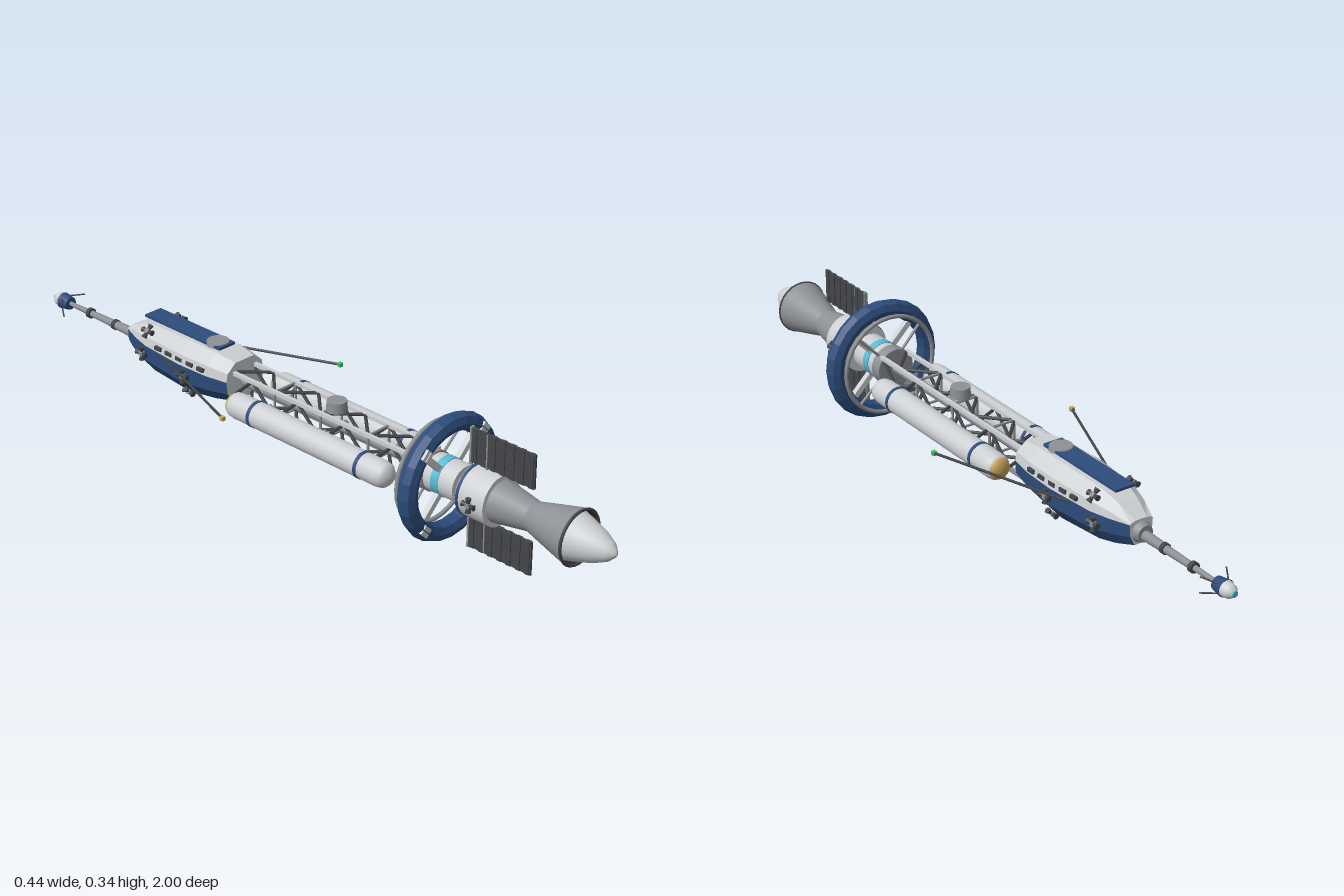
import * as THREE from 'three';

const AXIS = 0.172;
const mat = (name, color) => { const m = new THREE.MeshStandardMaterial({ color }); m.name = name; return m; };

export function createModel() {
  const white = mat('hull white', 0xcdd0d3), grey = mat('metal grey', 0x8d9095), dark = mat('dark grey', 0x45464a);
  const blue = mat('navy blue', 0x2d4d7c), gold = mat('gold', 0xc9a55a), cyan = mat('cyan glow', 0x58bcd6);
  const green = mat('signal green', 0x3cc85a), inner = mat('nozzle inside', 0x2f2d2d);
  inner.side = THREE.DoubleSide;
  const root = new THREE.Group();

  const add = (name, geo, m, x = 0, y = 0, z = 0) => {
    const mesh = new THREE.Mesh(geo, m);
    mesh.name = name;
    mesh.position.set(x, y, z);
    root.add(mesh);
    return mesh;
  };
  const flat = (g) => { const f = g.toNonIndexed(); f.computeVertexNormals(); return f; };
  const box = (name, m, w, h, d, x, y, z) => add(name, new THREE.BoxGeometry(w, h, d), m, x, y, z);
  // cylinder along z from z0 (radius r0) to z1 (radius r1)
  const drum = (name, m, z0, z1, r0, r1 = r0, x = 0, y = AXIS, n = 24) =>
    add(name, new THREE.CylinderGeometry(r1, r0, z1 - z0, n).rotateX(Math.PI / 2), m, x, y, (z0 + z1) / 2);
  const lathe = (name, m, pts, x = 0, y = AXIS) =>
    add(name, new THREE.LatheGeometry(pts.map(p => new THREE.Vector2(p[0], p[1])), 28).rotateX(Math.PI / 2), m, x, y, 0);
  const rod = (name, m, a, b, r, n = 6) => {
    const p = new THREE.Vector3(...a), q = new THREE.Vector3(...b), d = q.clone().sub(p);
    const mesh = add(name, new THREE.CylinderGeometry(r, r, d.length(), n), m);
    mesh.position.copy(p).add(q).multiplyScalar(0.5);
    mesh.quaternion.setFromUnitVectors(new THREE.Vector3(0, 1, 0), d.normalize());
    return mesh;
  };
  // four-way thruster cluster, facing the direction given by angle around z
  const thruster = (x, y, z, angle) => {
    const g = new THREE.Group();
    g.name = 'thrusterCluster';
    const core = new THREE.Mesh(new THREE.BoxGeometry(0.012, 0.012, 0.012), grey);
    core.name = 'thrusterBlock';
    g.add(core);
    for (let i = 0; i < 4; i++) {
      const cone = new THREE.Mesh(new THREE.CylinderGeometry(0.008, 0.004, 0.014, 8).translate(0, 0.012, 0), dark);
      cone.name = 'thrusterNozzle';
      cone.rotation.x = i * Math.PI / 2;
      g.add(cone);
    }
    g.position.set(x, y, z);
    g.rotation.z = angle;
    root.add(g);
  };

  // Engine
  lathe('engineBell', grey, [[0.038, 0.75], [0.046, 0.78], [0.06, 0.835], [0.07, 0.875], [0.073, 0.89]]);
  lathe('bellInside', inner, [[0.04, 0.78], [0.058, 0.84], [0.067, 0.875], [0.073, 0.89]]);
  lathe('engineCone', white, [[0.064, 0.872], [0.056, 0.9], [0.042, 0.945], [0.025, 0.98], [0.01, 0.996], [0, 1]]);
  drum('bellRim', dark, 0.886, 0.892, 0.074, 0.074).geometry = new THREE.TorusGeometry(0.071, 0.004, 6, 28);
  drum('engineCollar', grey, 0.645, 0.755, 0.056, 0.038);
  drum('engineBody', white, 0.56, 0.648, 0.068);
  drum('engineBand', blue, 0.562, 0.57, 0.0695);
  drum('engineCore', grey, 0.52, 0.57, 0.034);
  for (const s of [-1, 1]) thruster(s * 0.072, AXIS, 0.607, 0);

  // Radiator panels above and below the engine
  for (const s of [-1, 1]) {
    const y = AXIS + s * 0.118;
    box('radiatorPanel', dark, 0.005, 0.092, 0.2, 0, y, 0.65);
    for (let i = 0; i < 7; i++) box('radiatorRib', dark, 0.01, 0.092, 0.014, 0, y, 0.562 + i * 0.0295);
    box('radiatorFrame', grey, 0.01, 0.096, 0.005, 0, y, 0.55);
    rod('radiatorMast', grey, [0, AXIS + s * 0.05, 0.6], [0, AXIS + s * 0.162, 0.6], 0.004);
  }
  box('mastLight', green, 0.005, 0.005, 0.006, 0, AXIS + 0.166, 0.553);

  // Habitat ring, hub and spokes
  add('habitatRing', flat(new THREE.TorusGeometry(0.145, 0.025, 8, 24)), blue, 0, AXIS, 0.478);
  add('guideRing', new THREE.TorusGeometry(0.137, 0.006, 8, 32), grey, 0, AXIS, 0.435);
  drum('hub', white, 0.43, 0.535, 0.05);
  drum('hubGlow', cyan, 0.465, 0.488, 0.052);
  drum('hubCollar', grey, 0.405, 0.44, 0.054);
  for (let i = 0; i < 4; i++) {
    const a = Math.PI / 4 + i * Math.PI / 2, c = Math.cos(a), s = Math.sin(a);
    const spoke = box('spoke', white, 0.09, 0.016, 0.016, c * 0.088, AXIS + s * 0.088, 0.478);
    spoke.rotation.z = a;
    for (const k of [-1, 1]) {
      const hatch = box('ringHatch', white, 0.011, 0.028, 0.012, c * (0.146 + k * 0.007), AXIS + s * (0.146 + k * 0.007), 0.499);
      hatch.rotation.z = a;
    }
    rod('guideStrut', grey, [c * 0.045, AXIS + s * 0.045, 0.43], [c * 0.137, AXIS + s * 0.137, 0.435], 0.004);
  }

  // Truss spine
  const T = 0.038, z0 = -0.25, bays = 8, step = 0.66 / bays;
  for (const sx of [-1, 1]) for (const sy of [-1, 1])
    box('trussRail', sy > 0 ? white : grey, 0.01, 0.01, 0.67, sx * T, AXIS + sy * T, 0.08);
  const corners = [[-T, T], [T, T], [T, -T], [-T, -T]];
  for (let b = 0; b <= bays; b++) {
    const z = z0 + b * step;
    for (let i = 0; i < 4; i++) {
      const p = corners[i], q = corners[(i + 1) % 4];
      if (b % 2 === 0) rod('trussFrame', grey, [p[0], AXIS + p[1], z], [q[0], AXIS + q[1], z], 0.0035);
      if (b < bays) {
        const [u, v] = b % 2 ? [q, p] : [p, q];
        rod('trussDiagonal', dark, [u[0], AXIS + u[1], z], [v[0], AXIS + v[1], z + step], 0.0045);
      }
    }
  }
  drum('spineConduit', grey, -0.25, 0.42, 0.012, 0.012, 0, AXIS, 10);
  add('spinePod', new THREE.CylinderGeometry(0.026, 0.028, 0.028, 16), grey, 0, 0.228, 0.1);

  // Side tanks
  for (const s of [-1, 1]) {
    const x = s * 0.081, y = 0.154;
    lathe('tank', white, [[0, -0.196], [0.024, -0.196], [0.033, -0.185], [0.035, -0.17], [0.035, 0.33],
      [0.032, 0.348], [0.022, 0.36], [0, 0.364]], x, y);
    lathe('tankCap', gold, [[0, -0.204], [0.016, -0.203], [0.027, -0.196], [0.029, -0.19]], x, y);
    for (const z of [-0.106, 0.272]) drum('tankBand', blue, z - 0.005, z + 0.005, 0.0365, 0.0365, x, y);
    for (const z of [-0.106, 0.09, 0.272]) rod('tankBracket', grey, [s * 0.03, 0.16, z], [x, y, z], 0.006);
  }

  // Command hull: sections as z, half width, top, bottom
  const W = 0.192;
  const sections = [[-0.235, 0.066, 0.238, 0.128], [-0.3, 0.078, 0.247, 0.115], [-0.4, 0.082, 0.249, 0.1],
    [-0.545, 0.07, 0.242, 0.108], [-0.6, 0.055, 0.226, 0.118], [-0.655, 0.034, 0.2, 0.134]].map(([z, w, t, b]) => {
    const half = [[w, W], [w * 0.93, W + (t - W) * 0.5], [w * 0.5, t]];
    const low = [[w * 0.55, b], [w * 0.95, W - (W - b) * 0.55]];
    const flip = (p) => [-p[0], p[1]];
    return [...half, flip(half[2]), flip(half[1]), flip(half[0]), flip(low[1]), flip(low[0]), low[0], low[1]]
      .map(p => [p[0], p[1], z]);
  });
  const shell = (from, to) => {
    const v = [];
    for (let s = 0; s < sections.length - 1; s++) for (let i = from; i < to; i++) {
      const j = (i + 1) % 10, a = sections[s], b = sections[s + 1];
      v.push(...a[i], ...b[i], ...a[j], ...a[j], ...b[i], ...b[j]);
    }
    return v;
  };
  const cap = (ring, front) => {
    const v = [], c = [0, 0.18, ring[0][2]];
    for (let i = 0; i < 10; i++) {
      const p = ring[i], q = ring[(i + 1) % 10];
      v.push(...c, ...(front ? p : q), ...(front ? q : p));
    }
    return v;
  };
  const solid = (v) => {
    const g = new THREE.BufferGeometry();
    g.setAttribute('position', new THREE.Float32BufferAttribute(v, 3));
    g.computeVertexNormals();
    return g;
  };
  add('upperHull', solid(shell(0, 5)), white);
  add('lowerHull', solid(shell(5, 10)), blue);
  add('hullEnds', solid([...cap(sections[0], true), ...cap(sections[5], false)]), white);

  // Hull fittings
  box('dorsalPanel', blue, 0.056, 0.007, 0.29, 0, 0.252, -0.445);
  add('dorsalTurret', new THREE.CylinderGeometry(0.03, 0.034, 0.014, 16), grey, 0, 0.251, -0.335);
  for (const s of [-1, 1]) {
    for (let i = 0; i < 5; i++) box('sideWindow', dark, 0.008, 0.01, 0.024, s * (0.079 - i * 0.001), 0.205, -0.32 - i * 0.042);
    thruster(s * 0.084, 0.165, -0.385, 0);
    thruster(s * 0.071, 0.165, -0.56, 0);
    thruster(s * 0.06, 0.232, -0.545, s * Math.PI / 4);
    thruster(s * 0.062, 0.11, -0.385, -s * Math.PI / 4);
    // Antenna with a signal light at its tip
    rod('antenna', dark, [s * 0.07, 0.184, -0.48], [s * 0.212, 0.196, -0.095], 0.0035);
    box('antennaLight', s > 0 ? green : gold, 0.011, 0.011, 0.011, s * 0.212, 0.196, -0.095);
  }

  // Nose boom and sensor head
  const B = 0.162;
  drum('noseCollar', grey, -0.672, -0.65, 0.022, 0.03, 0, B + 0.004);
  drum('boomBase', grey, -0.75, -0.66, 0.012, 0.014, 0, B, 12);
  drum('boomMiddle', grey, -0.85, -0.75, 0.009, 0.011, 0, B, 12);
  drum('boomTip', grey, -0.95, -0.85, 0.006, 0.008, 0, B, 12);
  for (const z of [-0.745, -0.85]) drum('boomJoint', dark, z - 0.006, z + 0.006, 0.0145, 0.0145, 0, B, 12);
  drum('sensorBase', blue, -0.967, -0.935, 0.023, 0.018, 0, B, 16);
  lathe('sensorHead', white, [[0, -0.998], [0.01, -0.996], [0.018, -0.985], [0.021, -0.967]], 0, B);
  drum('sensorLens', cyan, -1, -0.994, 0.008, 0.008, 0, B, 12);
  for (let i = 0; i < 4; i++) {
    const a = Math.PI / 4 + i * Math.PI / 2, c = Math.cos(a), s = Math.sin(a);
    rod('sensorFeeler', dark, [c * 0.016, B + s * 0.016, -0.962], [c * 0.055, B + s * 0.03, -0.92], 0.002);
  }
  return root;
}
